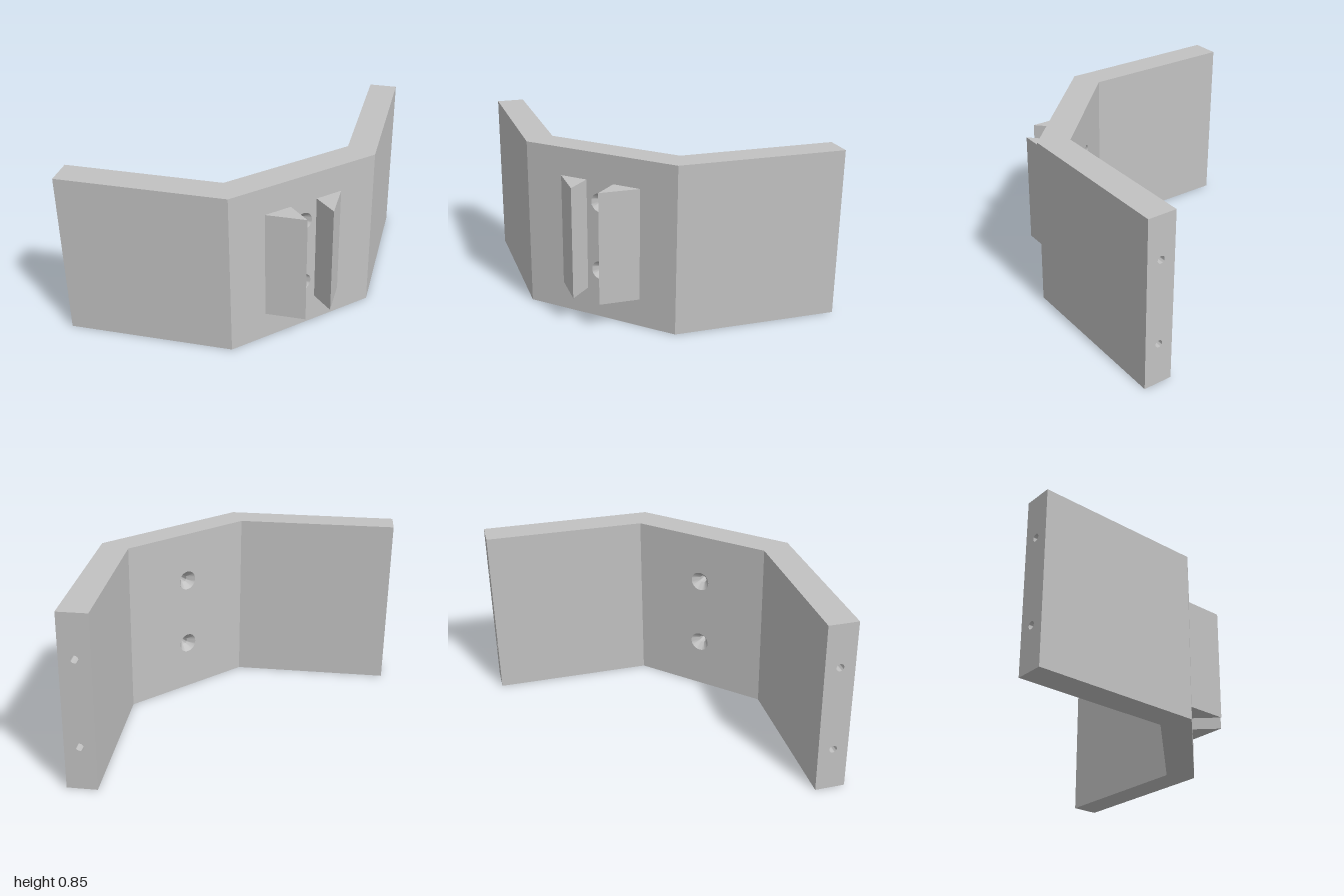
import * as THREE from 'three';
import { toCreasedNormals } from 'three/addons/utils/BufferGeometryUtils.js';

const HEIGHT = 0.85;
const BORE = 0.018; // radius of the narrow holes
const SINK = 0.048; // radius of the countersink mouths

export function createModel() {
  const model = new THREE.Group();
  model.name = 'angledBracket';
  const grey = new THREE.MeshStandardMaterial({ color: 0xc2c2c2 });
  grey.name = 'grey';

  const add = (name, geometry, parent = model) => {
    const mesh = new THREE.Mesh(geometry, grey);
    mesh.name = name;
    parent.add(mesh);
    return mesh;
  };
  const shapeOf = (points) => new THREE.Shape(points.map(([x, y]) => new THREE.Vector2(x, y)));

  // Inward-facing hole lining; its mouth is at z = 0 and it runs towards -z
  const lining = (profile) => {
    const points = profile.map(([r, y]) => new THREE.Vector2(r, y));
    return toCreasedNormals(new THREE.LatheGeometry(points, 32), 0.6).rotateX(Math.PI / 2);
  };

  // Upright wall from a to b, seen from outside, pierced by holes on its centre line
  const wall = (name, a, b, holeHeights = [], radius = 0) => {
    const dx = b[0] - a[0], dz = b[1] - a[1];
    const w = Math.hypot(dx, dz) / 2;
    const shape = shapeOf([[-w, 0], [w, 0], [w, HEIGHT], [-w, HEIGHT]]);
    for (const y of holeHeights) {
      shape.holes.push(new THREE.Path().absarc(0, y, radius, 0, Math.PI * 2, true));
    }
    const group = new THREE.Group();
    group.name = name;
    group.position.set((a[0] + b[0]) / 2, 0, (a[1] + b[1]) / 2);
    group.rotation.y = Math.atan2(-dz, dx);
    model.add(group);
    add(name + 'Face', new THREE.ShapeGeometry(shape, 32), group);
    return group;
  };

  // Plan of the bent plate as [x, z]
  const front = 0.275, back = 0.133;
  const plan = [
    [-0.408, front], [0.408, front], [1, -0.317], [0.9, -0.417],
    [0.35, back], [-0.35, back], [-0.9, -0.417], [-1, -0.317],
  ];
  const names = ['centreFront', 'leftWingFront', 'leftWingEnd', 'leftWingBack',
    'centreBack', 'rightWingBack', 'rightWingEnd', 'rightWingFront'];
  const screwHeights = [0.25, 0.602];
  const endHeights = [0.213, 0.637];

  plan.forEach((a, i) => {
    const b = plan[(i + 1) % plan.length];
    const isEnd = names[i].endsWith('End');
    const isCentre = names[i].startsWith('centre');
    const heights = isEnd ? endHeights : isCentre ? screwHeights : [];
    const group = wall(names[i], a, b, heights, isEnd ? BORE : SINK);
    // Blind pin holes in the wing ends
    if (isEnd) {
      for (const y of heights) {
        add('pinHole', lining([[BORE, 0], [BORE, -0.14], [0, -0.14]]), group).position.y = y;
      }
    }
  });

  // Screw holes through the centre, countersunk on both sides
  const depth = front - back, cone = 0.035;
  for (const y of screwHeights) {
    add('screwHole', lining([
      [SINK, 0], [BORE, -cone], [BORE, cone - depth], [SINK, -depth],
    ])).position.set(0, y, front);
  }

  // Top and bottom of the plate
  const top = new THREE.ShapeGeometry(shapeOf(plan.map(([x, z]) => [x, -z])));
  add('plateTop', top.rotateX(-Math.PI / 2)).position.y = HEIGHT;
  const bottom = new THREE.ShapeGeometry(shapeOf(plan));
  add('plateBottom', bottom.rotateX(Math.PI / 2));

  // Pair of triangular cleats on the front
  for (const [side, name] of [[1, 'leftCleat'], [-1, 'rightCleat']]) {
    const section = shapeOf([
      [side * 0.215, -front], [side * 0.073, -front], [side * 0.073, -0.417],
    ]);
    const geometry = new THREE.ExtrudeGeometry(section, { depth: 0.566, bevelEnabled: false });
    add(name, geometry.rotateX(-Math.PI / 2)).position.y = 0.142;
  }

  return model;
}
